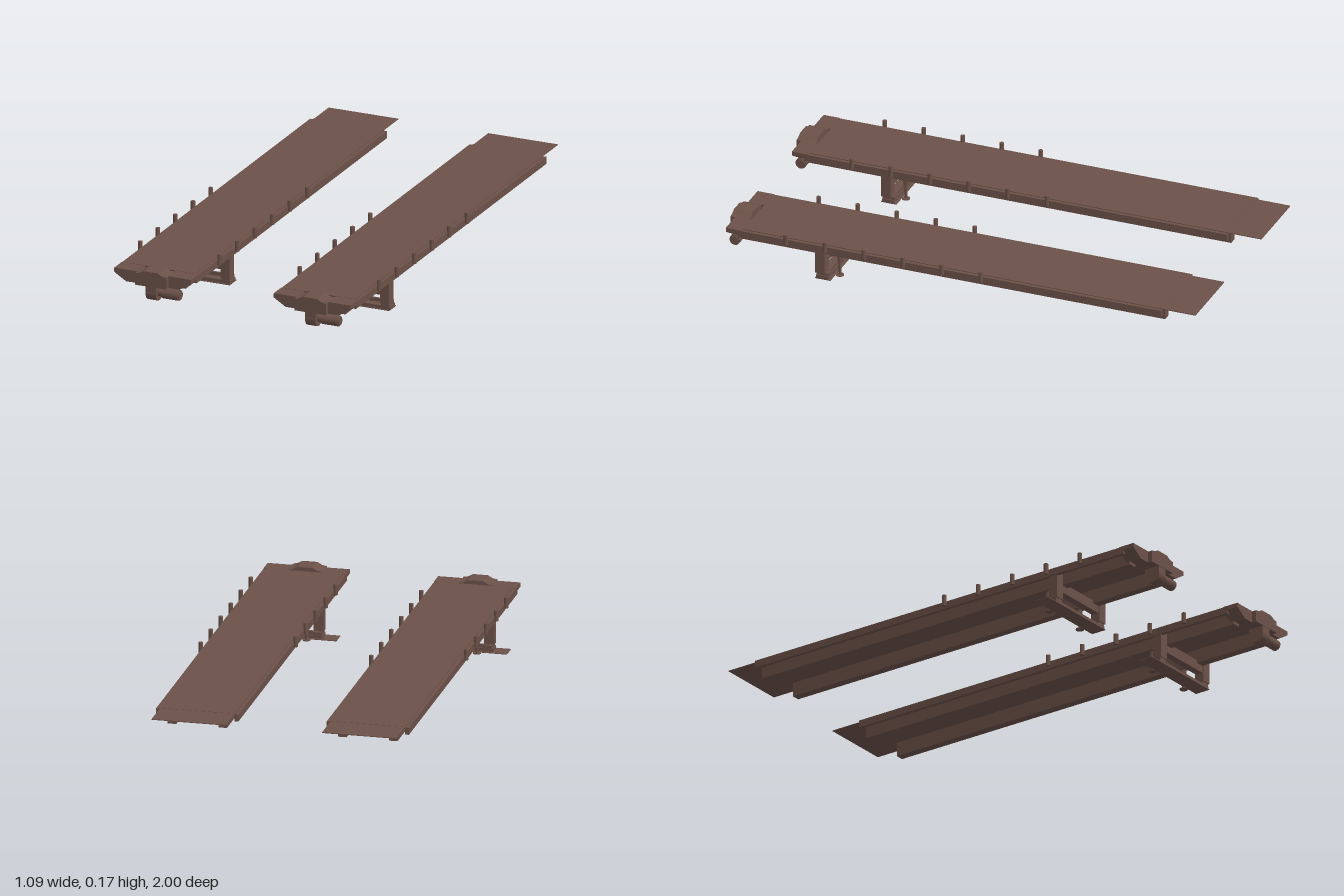
import * as THREE from 'three';

const material = new THREE.MeshStandardMaterial({ color: 0x6b5148, side: THREE.DoubleSide });

function add(group, name, geometry, x = 0, y = 0, z = 0) {
  const mesh = new THREE.Mesh(geometry, material);
  mesh.name = name;
  mesh.position.set(x, y, z);
  group.add(mesh);
  return mesh;
}

// Box given by its limits on each axis
function box(group, name, [x0, x1], [y0, y1], [z0, z1]) {
  return add(group, name, new THREE.BoxGeometry(x1 - x0, y1 - y0, z1 - z0),
    (x0 + x1) / 2, (y0 + y1) / 2, (z0 + z1) / 2);
}

// Outline in x and y, extruded from z0 to z1
function slab(group, name, points, z0, z1) {
  const shape = new THREE.Shape(points.map(p => new THREE.Vector2(...p)));
  return add(group, name, new THREE.ExtrudeGeometry(shape, { depth: z1 - z0, bevelEnabled: false }), 0, 0, z0);
}

// Cylinder lying along x
function roller(group, name, radius, x0, x1, y, z) {
  const geometry = new THREE.CylinderGeometry(radius, radius, x1 - x0, 24).rotateZ(Math.PI / 2);
  return add(group, name, geometry, (x0 + x1) / 2, y, z);
}

function createRunway() {
  const g = new THREE.Group();

  // Deck, and a thin ramp lip at the back
  box(g, 'deck', [-0.152, 0.152], [0.147, 0.152], [-0.86, 0.91]);
  box(g, 'rampLip', [-0.15, 0.15], [0.148, 0.151], [-1, -0.86]);

  for (const s of [-1, 1]) {
    const span = (a, b) => [Math.min(s * a, s * b), Math.max(s * a, s * b)];
    // Deep beam under the deck and a shallow rail along the deck edge
    box(g, 'deckBeam', span(0.085, 0.12), [0.09, 0.147], [-0.86, 0.93]);
    box(g, 'edgeRail', span(0.15, 0.166), [0.12, 0.149], [-0.86, 0.93]);

    // Tapered front wing beside the cover
    slab(g, 'frontWing', [
      [s * 0.066, 0.151], [s * 0.166, 0.151], [s * 0.166, 0.134],
      [s * 0.115, 0.102], [s * 0.066, 0.102],
    ], 0.91, 0.98);

    // Side posts, with one more on the left
    for (let i = 0; i < (s > 0 ? 6 : 5); i++) {
      const z = 0.724 - i * 0.165;
      add(g, 'sidePost', new THREE.CylinderGeometry(0.009, 0.009, 0.045, 12), s * 0.171, 0.152, z);
    }

    // Leg and its foot
    box(g, 'leg', span(0.12, 0.16), [0.025, 0.147], [0.565, 0.605]);
    box(g, 'foot', span(0.122, 0.156), [0.014, 0.028], [0.55, 0.6]);

    // Adjusting screw
    add(g, 'screw', new THREE.CylinderGeometry(0.006, 0.006, 0.09, 12), s * 0.103, 0.047, 0.522);
    add(g, 'screwNut', new THREE.CylinderGeometry(0.011, 0.011, 0.022, 6), s * 0.103, 0.075, 0.522);
    add(g, 'screwFoot', new THREE.CylinderGeometry(0.016, 0.016, 0.004, 16), s * 0.103, 0.004, 0.522);
  }

  // Cross beam between the legs
  box(g, 'legCrossBeam', [-0.12, 0.12], [0.06, 0.102], [0.57, 0.6]);

  // Base bar and the ground plate reaching out to one side
  box(g, 'baseBar', [-0.16, 0.16], [0.003, 0.016], [0.55, 0.6]);
  box(g, 'baseRib', [-0.13, 0.13], [0.016, 0.03], [0.555, 0.565]);
  box(g, 'groundPlate', [-0.219, 0.16], [0, 0.003], [0.54, 0.605]);

  // Front cover with its raised cap
  slab(g, 'frontCover', [
    [-0.068, 0.102], [0.068, 0.102], [0.068, 0.15], [0.05, 0.153], [0.03, 0.164],
    [-0.03, 0.164], [-0.05, 0.153], [-0.068, 0.15],
  ], 0.922, 1);

  // Drum, hanger and side motor
  roller(g, 'drum', 0.034, -0.022, 0.022, 0.073, 0.965);
  box(g, 'drumHanger', [-0.022, 0.022], [0.073, 0.105], [0.932, 0.998]);
  roller(g, 'motorNeck', 0.016, 0.02, 0.04, 0.073, 0.965);
  roller(g, 'motor', 0.022, 0.04, 0.11, 0.073, 0.965);
  roller(g, 'motorCap', 0.018, 0.11, 0.115, 0.073, 0.965);
  return g;
}

export function createModel() {
  const model = new THREE.Group();
  // Two identical runways side by side
  [['rightRunway', -0.326], ['leftRunway', 0.362]].forEach(([name, x]) => {
    const runway = createRunway();
    runway.name = name;
    runway.position.x = x;
    model.add(runway);
  });
  return model;
}
